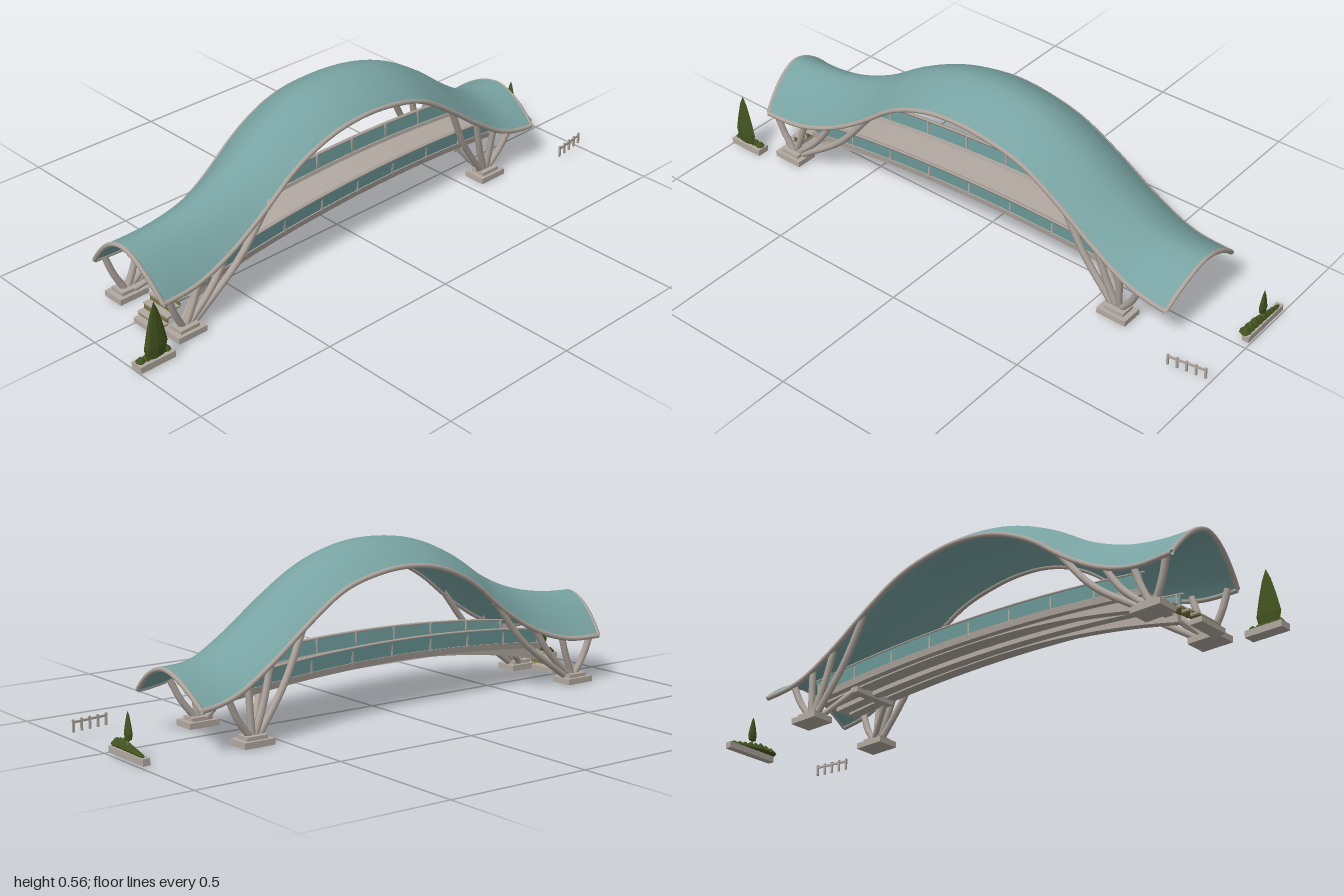
import * as THREE from 'three';

const mat = (name, color, flatShading = false) => {
  const m = new THREE.MeshStandardMaterial({ color, flatShading, side: THREE.DoubleSide });
  m.name = name;
  return m;
};

// Catmull-Rom reading of evenly spaced stations, t in 0..1
const sampler = (vals) => {
  const c = new THREE.SplineCurve(vals.map((v, i) => new THREE.Vector2(i, v)));
  return (t) => c.getPoint(THREE.MathUtils.clamp(t, 0, 1)).y;
};

// Canopy stations from the right end to the left end
const X0 = -0.88, X1 = 0.81;
const crown = sampler([0.30, 0.309, 0.338, 0.396, 0.483, 0.543, 0.566, 0.56, 0.518, 0.437, 0.334, 0.258, 0.245]);
const drop = sampler([0.13, 0.134, 0.118, 0.094, 0.076, 0.072, 0.072, 0.077, 0.075, 0.08, 0.076, 0.08, 0.095]);
const zFront = sampler([0.17, 0.162, 0.152, 0.147, 0.148, 0.154, 0.157, 0.155, 0.15, 0.147, 0.147, 0.147, 0.147]);
const zBack = sampler([-0.166, -0.156, -0.144, -0.141, -0.146, -0.155, -0.16, -0.163, -0.168, -0.178, -0.188, -0.202, -0.218]);

// Canopy point: x along the bridge, u across from back (-1) to front (+1)
function canopyPoint(x, u, off = 0) {
  const t = (x - X0) / (X1 - X0);
  const f = zFront(t), b = zBack(t);
  const y = crown(t) - drop(t) * Math.abs(u) ** 1.8 - off;
  return new THREE.Vector3(x * (1 - 0.018 * u * u), y, (f + b) / 2 + (u * (f - b)) / 2);
}

// Deck height, centre line and girder underside
const deckY = (x) => 0.178 - 0.09 * x * x;
const deckZ = (x) => 0.008 - 0.04 * x;
const girderY = (x) => 0.16 - (x < 0 ? 0.17 : 0.1) * x * x;
const up = (d) => (x) => deckY(x) + d;

function buildGeometry(pos, idx) {
  const g = new THREE.BufferGeometry();
  g.setAttribute('position', new THREE.Float32BufferAttribute(pos, 3));
  g.setIndex(idx);
  g.computeVertexNormals();
  return g;
}

function gridGeometry(nu, nv, fn) {
  const pos = [], idx = [];
  for (let i = 0; i <= nu; i++) {
    for (let j = 0; j <= nv; j++) {
      pos.push(...fn(i / nu, j / nv).toArray());
      if (i < nu && j < nv) {
        const a = i * (nv + 1) + j, b = a + nv + 1;
        idx.push(a, a + 1, b, b, a + 1, b + 1);
      }
    }
  }
  return buildGeometry(pos, idx);
}

// Bar following the deck: yLow(x)..yHigh(x), width w, leaning from side offset zLow to zHigh
function deckBar(x0, x1, yLow, yHigh, w, zLow, zHigh = zLow) {
  const n = 28, pos = [], idx = [];
  for (let i = 0; i <= n; i++) {
    const x = x0 + ((x1 - x0) * i) / n, c = deckZ(x), h = w / 2;
    pos.push(x, yLow(x), c + zLow + h, x, yHigh(x), c + zHigh + h, x, yHigh(x), c + zHigh - h, x, yLow(x), c + zLow - h);
    if (i < n) for (let k = 0; k < 4; k++) {
      const a = i * 4 + k, b = i * 4 + ((k + 1) % 4);
      idx.push(a, a + 4, b, b, a + 4, b + 4);
    }
  }
  const e = n * 4;
  idx.push(0, 1, 2, 0, 2, 3, e, e + 2, e + 1, e, e + 3, e + 2);
  return buildGeometry(pos, idx);
}

export function createModel() {
  const model = new THREE.Group();
  model.name = 'coveredFootbridge';
  const teal = mat('teal canopy', 0x78a3a2);
  const tealPanel = mat('teal panel', 0x6f9c9c, true);
  const concrete = mat('pale concrete', 0xb2a9a1, true);
  const steel = mat('warm grey steel', 0xaea59d);
  const olive = mat('olive riser', 0x7d7444, true);
  const green = mat('dark green foliage', 0x43541f, true);

  const add = (name, geo, m, x = 0, y = 0, z = 0) => {
    const mesh = new THREE.Mesh(geo, m);
    mesh.name = name;
    mesh.position.set(x, y, z);
    model.add(mesh);
    return mesh;
  };
  const box = (name, m, w, h, d, x, y, z) => add(name, new THREE.BoxGeometry(w, h, d), m, x, y, z);
  const tube = (name, pts, r, seg = 12) =>
    add(name, new THREE.TubeGeometry(new THREE.CatmullRomCurve3(pts), seg, r, 8), steel);
  const V = (x, y, z) => new THREE.Vector3(x, y, z);

  // Canopy skins and rim
  const lerpX = (t) => X0 + (X1 - X0) * t;
  add('canopyTop', gridGeometry(64, 20, (s, t) => canopyPoint(lerpX(s), t * 2 - 1)), teal);
  add('canopyUnderside', gridGeometry(64, 20, (s, t) => canopyPoint(lerpX(s), 1 - t * 2, 0.014)), teal);
  for (const side of [-1, 1]) {
    const edge = [], end = [];
    for (let i = 0; i <= 32; i++) edge.push(canopyPoint(lerpX(i / 32), side, 0.008));
    for (let i = 0; i <= 14; i++) end.push(canopyPoint(side < 0 ? X0 : X1, i / 7 - 1, 0.007));
    tube('canopySideRim', edge, 0.0085, 90);
    tube('canopyEndRim', end, 0.008, 30);
  }

  // Trough-shaped deck with girders, parapets and posts
  add('deckSlab', deckBar(-0.69, 0.67, up(-0.014), up(-0.004), 0.18, 0), concrete);
  add('keel', deckBar(-0.68, 0.65, up(-0.03), up(-0.014), 0.03, 0), concrete);
  for (const s of [-1, 1]) {
    add('girder', deckBar(-0.7, 0.65, girderY, up(-0.014), 0.028, s * 0.062), concrete);
    add('kerb', deckBar(-0.69, 0.67, up(-0.014), up(0.008), 0.014, s * 0.091, s * 0.095), concrete);
    add('parapetPanel', deckBar(-0.68, 0.66, up(0.006), up(0.056), 0.006, s * 0.095, s * 0.1), tealPanel);
    add('handrail', deckBar(-0.69, 0.67, up(0.054), up(0.06), 0.01, s * 0.1), steel);
    for (let i = 0; i <= 8; i++) {
      const x = -0.67 + i * 0.165;
      box('parapetPost', concrete, 0.006, 0.054, 0.011, x, deckY(x) + 0.029, deckZ(x) + s * 0.0965);
    }
  }

  // Stair at the right end, turning gently into the deck
  const steps = 6, rise = 0.018, run = 0.027;
  for (let i = 0; i < steps; i++) {
    const x = -0.82 + i * run, y = 0.02 + i * rise, z = 0.055 - i * 0.004;
    box('stairTread', concrete, run, 0.005, 0.118, x, y + rise, z);
    box('stairTreadUnderside', olive, run, 0.004, 0.112, x, y + rise - 0.0045, z);
    box('stairRiser', olive, 0.006, rise, 0.112, x + run / 2, y + rise * 0.5 + 0.014, z);
  }
  box('stairFoot', concrete, 0.045, 0.018, 0.12, -0.825, 0.013, 0.055);

  // Footings with branching legs
  const supports = [
    { x: -0.77, z: [-0.14, 0.147], reach: [-0.85, -0.72, -0.6, -0.42], inward: 1 },
    { x: 0.6, z: [-0.192, 0.115], reach: [0.7, 0.62, 0.53, 0.4], inward: -1 },
  ];
  for (const { x, z, reach, inward } of supports) {
    const bx = x + inward * 0.1;
    for (const fz of z) {
      const s = Math.sign(fz);
      box('footing', concrete, 0.11, 0.02, 0.08, x, 0.017, fz);
      box('footingCap', concrete, 0.075, 0.014, 0.055, x, 0.032, fz);
      for (const r of reach) {
        const top = canopyPoint(r, s * 0.94, 0.014);
        const base = V(x + (r - x) * 0.12, 0.035, fz);
        const mid = base.clone().lerp(top, 0.5);
        mid.x += (r - x) * 0.06;
        mid.y -= Math.abs(r - x) * 0.04;
        tube('canopyLeg', [base, mid, top], 0.0115);
      }
      // Inner leg carrying the deck
      const foot = V(x + inward * 0.015, 0.035, fz - s * 0.025);
      const head = V(bx, deckY(bx) - 0.014, deckZ(bx) + s * 0.068);
      tube('deckLeg', [foot, foot.clone().lerp(head, 0.5), head], 0.01);
    }
    box('deckBearer', concrete, 0.03, 0.02, 0.17, bx, deckY(bx) - 0.024, deckZ(bx));
  }

  const leaf = (name, h, rx, rz, x, y, z) => {
    const pts = [[0, 0], [0.8, 0.06], [1, 0.25], [0.7, 0.55], [0.36, 0.82], [0, 1]].map(([r, t]) => new THREE.Vector2(r, t));
    add(name, new THREE.LatheGeometry(pts, 8), green, x, y, z).scale.set(rx, h, rz);
  };

  // Tall cypress in a planter at the right end
  box('planter', concrete, 0.13, 0.022, 0.045, -0.935, 0.018, 0.205);
  leaf('cypress', 0.2, 0.044, 0.014, -0.936, 0.028, 0.219);
  for (let i = 0; i < 5; i++) leaf('hedgeTuft', 0.022, 0.016, 0.016, -0.983 + i * 0.024, 0.026, 0.203);

  // Low planter with shrubs and a small tree at the left end
  box('planter', concrete, 0.024, 0.022, 0.2, 0.985, 0.021, -0.12);
  leaf('smallTree', 0.092, 0.01, 0.019, 0.983, 0.062, -0.115);
  box('smallTreeTrunk', olive, 0.005, 0.04, 0.006, 0.983, 0.048, -0.115);
  for (let i = 0; i < 8; i++) {
    const w = 0.02 - i * 0.0017;
    leaf('shrub', 0.036 - Math.abs(i - 2) * 0.004, w, 0.022, 0.995 - w, 0.03, -0.035 - i * 0.022);
  }

  // Little fence
  for (let i = 0; i < 5; i++) box('fencePost', steel, 0.007, 0.04, 0.006, 0.865 + i * 0.031, 0.045, 0.228 - i * 0.005);
  box('fenceRail', steel, 0.13, 0.007, 0.005, 0.927, 0.056, 0.218).rotation.y = 0.16;

  return model;
}
